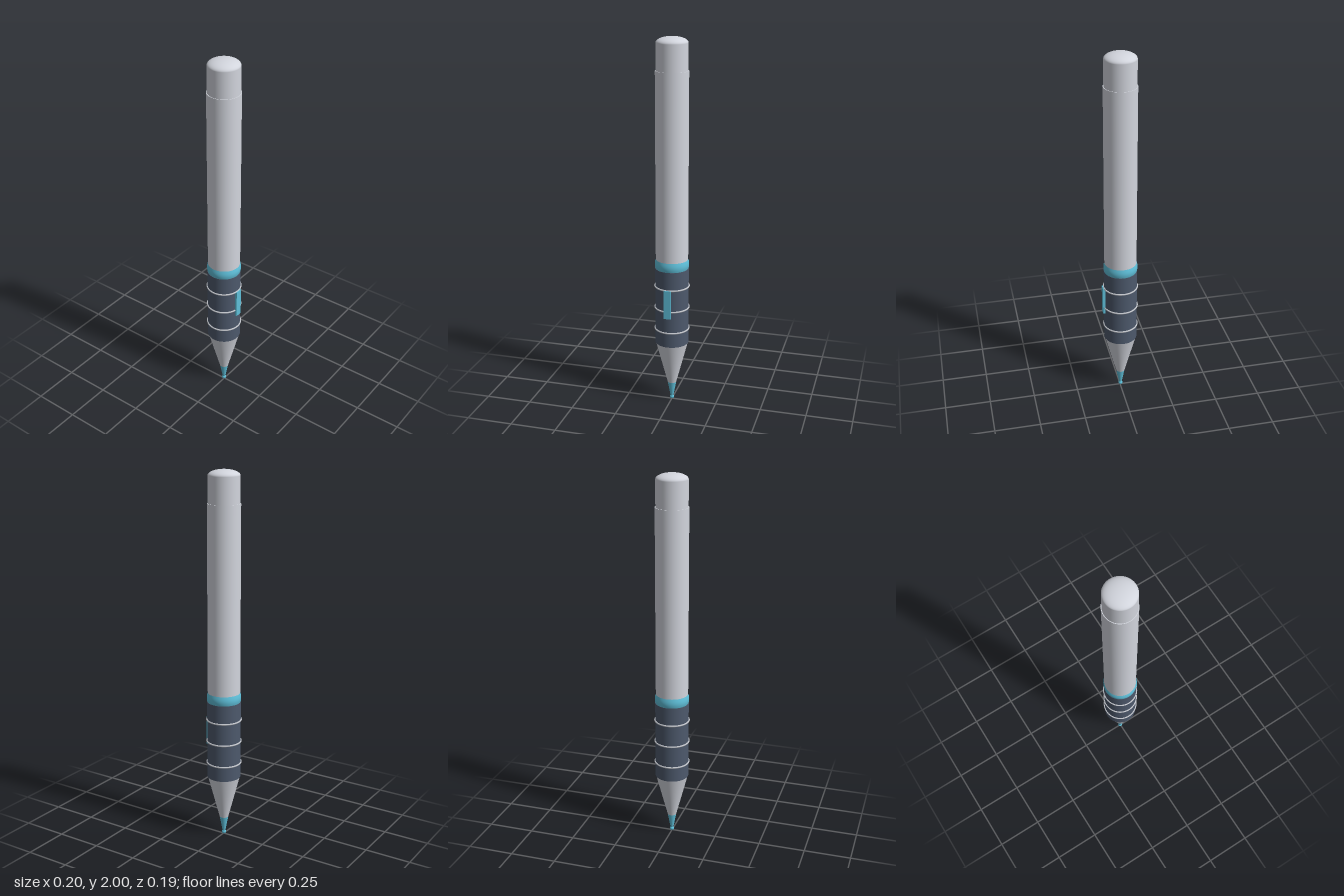
import * as THREE from 'three';

const SEG = 64;

function mat(name, color) {
  const m = new THREE.MeshStandardMaterial({ color });
  m.name = name;
  return m;
}

export function createModel() {
  const shell = mat('pale grey shell', 0xd2d5dd);
  const rubber = mat('slate grip', 0x4d596c);
  const accent = mat('sky blue accent', 0x5fc0da);
  const metal = mat('silver ring', 0xbfc2c8);

  const group = new THREE.Group();
  group.name = 'stylusPen';
  // the side button sticks out, so the axis sits slightly off centre
  const pen = new THREE.Group();
  pen.name = 'pen';
  pen.position.x = -0.002;
  group.add(pen);

  function add(name, geometry, material, y = 0) {
    const mesh = new THREE.Mesh(geometry, material);
    mesh.name = name;
    mesh.position.y = y;
    pen.add(mesh);
    return mesh;
  }

  // round section between two heights
  const section = (name, y0, y1, r0, r1, material) =>
    add(name, new THREE.CylinderGeometry(r1, r0, y1 - y0, SEG), material, (y0 + y1) / 2);

  // writing end
  add('tipBall', new THREE.SphereGeometry(0.012, 24, 16), accent, 0.012);
  section('tip', 0.014, 0.105, 0.007, 0.024, accent);
  section('noseCone', 0.105, 0.35, 0.024, 0.088, shell);

  // grip with thin metal rings
  section('grip', 0.35, 0.78, 0.09, 0.09, rubber);
  for (const y of [0.433, 0.556, 0.678]) {
    const ring = add('gripRing', new THREE.TorusGeometry(0.0915, 0.0045, 12, SEG), metal, y);
    ring.rotation.x = Math.PI / 2;
  }

  // softly bulging collar
  const collar = [];
  for (let i = 0; i <= 10; i++) {
    const t = i / 10;
    collar.push(new THREE.Vector2(0.087 + 0.005 * Math.sin(Math.PI * t), 0.774 + 0.056 * t));
  }
  add('collar', new THREE.LatheGeometry(collar, SEG), accent);

  // barrel and cap
  section('barrel', 0.78, 1.83, 0.0865, 0.0865, shell);
  section('cap', 1.83, 1.968, 0.083, 0.083, shell);
  const dome = add('capDome',
    new THREE.SphereGeometry(0.083, SEG, 16, 0, Math.PI * 2, 0, Math.PI / 2), shell, 1.968);
  dome.scale.y = 0.032 / 0.083;

  // side button
  const button = add('sideButton', new THREE.BoxGeometry(0.02, 0.16, 0.038), accent, 0.6);
  button.position.x = 0.09;

  return group;
}
